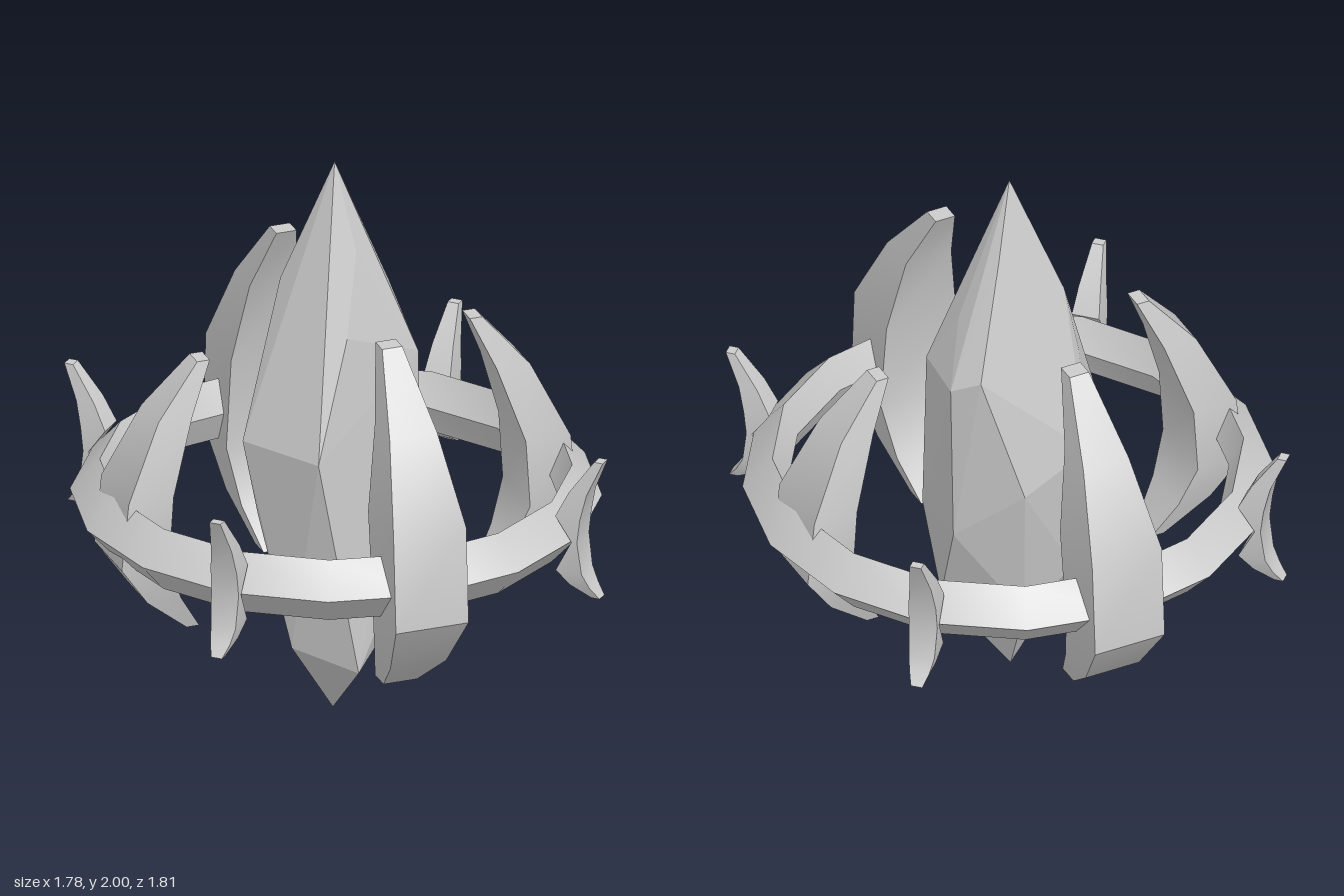
import * as THREE from 'three';
import { toCreasedNormals } from 'three/addons/utils/BufferGeometryUtils.js';
import { ConvexGeometry } from 'three/addons/geometries/ConvexGeometry.js';

const material = new THREE.MeshStandardMaterial({ color: 0xcccccc });

// Blade lofted from rectangular sections: [height, inner radius, outer radius, half width]
function bladeGeometry(sections) {
  const positions = [];
  const index = [];
  sections.forEach(([y, inner, outer, w], i) => {
    positions.push(w, y, outer, w, y, inner, -w, y, inner, -w, y, outer);
    if (i === 0) return;
    for (let k = 0; k < 4; k++) {
      const next = (k + 1) % 4;
      const a = (i - 1) * 4 + k, d = (i - 1) * 4 + next;
      const b = a, c = d;
      index.push(b, c, c + 4, b, c + 4, b + 4);
    }
  });
  const t = (sections.length - 1) * 4;
  index.push(0, 2, 1, 0, 3, 2, t, t + 1, t + 2, t, t + 2, t + 3);
  const geometry = new THREE.BufferGeometry();
  geometry.setAttribute('position', new THREE.Float32BufferAttribute(positions, 3));
  geometry.setIndex(index);
  return toCreasedNormals(geometry, 0.6);
}

export function createModel() {
  const model = new THREE.Group();
  model.name = 'caged crystal';

  const add = (name, geometry, angle = 0) => {
    const mesh = new THREE.Mesh(geometry, material);
    mesh.name = name;
    mesh.rotation.y = angle;
    model.add(mesh);
  };

  // Irregular faceted crystal
  const crystalPoints = [
    [-0.005, 2, 0],
    // upper facets
    [0.085, 1.75, -0.1], [0.04, 1.7, 0.085], [0.2, 1.52, -0.03], [-0.165, 1.56, -0.09],
    [-0.03, 1.43, 0.185], [-0.2, 1.32, -0.13], [0.29, 1.32, -0.15], [0.22, 1.38, -0.235],
    [0.26, 1.3, 0.09],
    // girdle
    [-0.33, 1.02, -0.01], [-0.165, 1.02, 0.27], [-0.17, 1, -0.26], [0.08, 0.9, -0.285],
    [0.27, 0.7, 0.1], [0.265, 0.7, -0.12], [-0.28, 0.75, 0],
    // lower facets
    [-0.185, 0.27, 0.07], [-0.01, 0.22, 0.24], [0.24, 0.36, 0.02], [0.03, 0.34, -0.18],
    [-0.14, 0.5, -0.21], [-0.015, 0, 0.01],
  ].map((p) => new THREE.Vector3(...p));
  add('crystal', new ConvexGeometry(crystalPoints));

  // Sixteen-sided ring with a diamond section
  const ringProfile = [[0.79, 0.675], [0.89, 0.785], [0.79, 0.895], [0.74, 0.785], [0.79, 0.675]]
    .map(([r, y]) => new THREE.Vector2(r, y));
  add('ring', toCreasedNormals(new THREE.LatheGeometry(ringProfile, 16), 0.6));

  // Tall claws at front and back, shorter claws at the sides
  const tallClaw = bladeGeometry([
    [0.345, 0.525, 0.605, 0.06], [0.48, 0.625, 0.775, 0.1], [0.67, 0.69, 0.907, 0.13],
    [1.01, 0.645, 0.885, 0.13], [1.3, 0.59, 0.73, 0.085], [1.54, 0.466, 0.53, 0.036],
  ]);
  const shortClaw = bladeGeometry([
    [0.4, 0.51, 0.555, 0.055], [0.53, 0.59, 0.71, 0.095], [0.68, 0.645, 0.815, 0.13],
    [0.92, 0.63, 0.79, 0.13], [1.18, 0.545, 0.665, 0.08], [1.36, 0.465, 0.51, 0.036],
  ]);
  // Small outward-curving fins, notched around the ring edge
  const fin = bladeGeometry([
    [0.58, 0.945, 0.975, 0.02], [0.62, 0.875, 0.945, 0.035], [0.67, 0.825, 0.92, 0.045],
    [0.785, 0.885, 0.905, 0.05], [0.87, 0.825, 0.915, 0.048], [0.96, 0.87, 0.935, 0.038],
    [1.08, 0.955, 0.987, 0.02],
  ]);
  for (let i = 0; i < 4; i++) {
    const angle = (i * Math.PI) / 2;
    add(i % 2 ? 'side claw' : 'tall claw', i % 2 ? shortClaw : tallClaw, angle);
    add('corner fin', fin, angle + Math.PI / 4);
  }

  return model;
}
